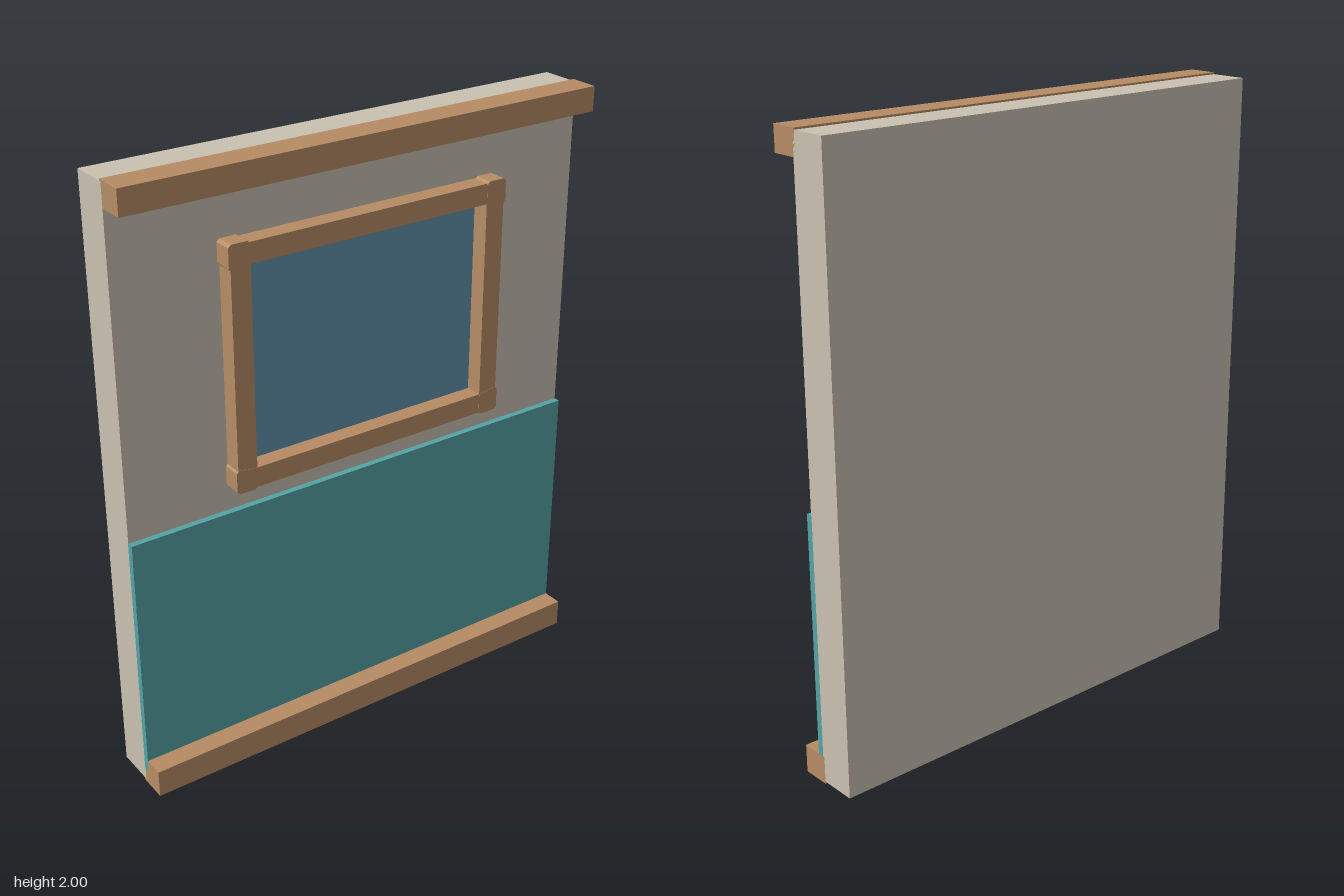
import * as THREE from 'three';

const material = (name, color) => {
  const m = new THREE.MeshStandardMaterial({ color });
  m.name = name;
  return m;
};

export function createModel() {
  const model = new THREE.Group();
  model.name = 'windowWall';
  const plaster = material('plaster', 0xc9c1b1);
  const wood = material('wood', 0xb68c64);
  const teal = material('tealPanel', 0x55a3a5);
  const glass = material('glass', 0x6190ac);

  // Box given by its limits on each axis
  const box = (name, mat, [x0, x1], [y0, y1], [z0, z1], parent = model) => {
    const mesh = new THREE.Mesh(new THREE.BoxGeometry(x1 - x0, y1 - y0, z1 - z0), mat);
    mesh.position.set((x0 + x1) / 2, (y0 + y1) / 2, (z0 + z1) / 2);
    mesh.name = name;
    parent.add(mesh);
  };

  // Wall, lower panel and the rails along top and bottom
  const width = [-0.827, 0.827];
  box('wall', plaster, width, [0.008, 1.994], [-0.111, 0.022]);
  box('lowerPanel', teal, width, [0.05, 0.885], [0.02, 0.043]);
  box('topRail', wood, width, [1.92, 2], [0.014, 0.111]);
  box('bottomRail', wood, width, [0, 0.093], [0.014, 0.111]);

  // Window, standing slightly off the wall
  const win = new THREE.Group();
  win.name = 'window';
  model.add(win);
  const L = -0.492, R = 0.486, B = 0.983, T = 1.763, bar = 0.066;
  const depth = [0.041, 0.102];
  box('glass', glass, [L + bar, R - bar], [B + bar, T - bar], [0.036, 0.044], win);
  box('frameTop', wood, [L + bar, R - bar], [T - bar, T], depth, win);
  box('frameBottom', wood, [L + bar, R - bar], [B, B + bar], depth, win);
  box('frameLeft', wood, [R - bar, R], [B + bar, T - bar], depth, win);
  box('frameRight', wood, [L, L + bar], [B + bar, T - bar], depth, win);

  // Corner blocks, a little proud of the bars, with clipped outer corners
  const w = bar + 0.006, h = bar + 0.005, c = 0.009;
  for (const sx of [-1, 1]) {
    for (const sy of [-1, 1]) {
      const outline = [[0, 0], [w - c, -c], [w, 0], [w, h - c], [w - c, h], [c, h], [0, h - c]]
        .map(([x, y]) => new THREE.Vector2(sx * x, sy * y));
      const geo = new THREE.ExtrudeGeometry(new THREE.Shape(outline), {
        depth: depth[1] - depth[0] + 0.001, bevelEnabled: false,
      });
      const corner = new THREE.Mesh(geo, wood);
      corner.name = 'frameCorner';
      corner.position.set(sx > 0 ? R - bar : L + bar, sy > 0 ? T - bar : B + bar, depth[0]);
      win.add(corner);
    }
  }
  return model;
}
